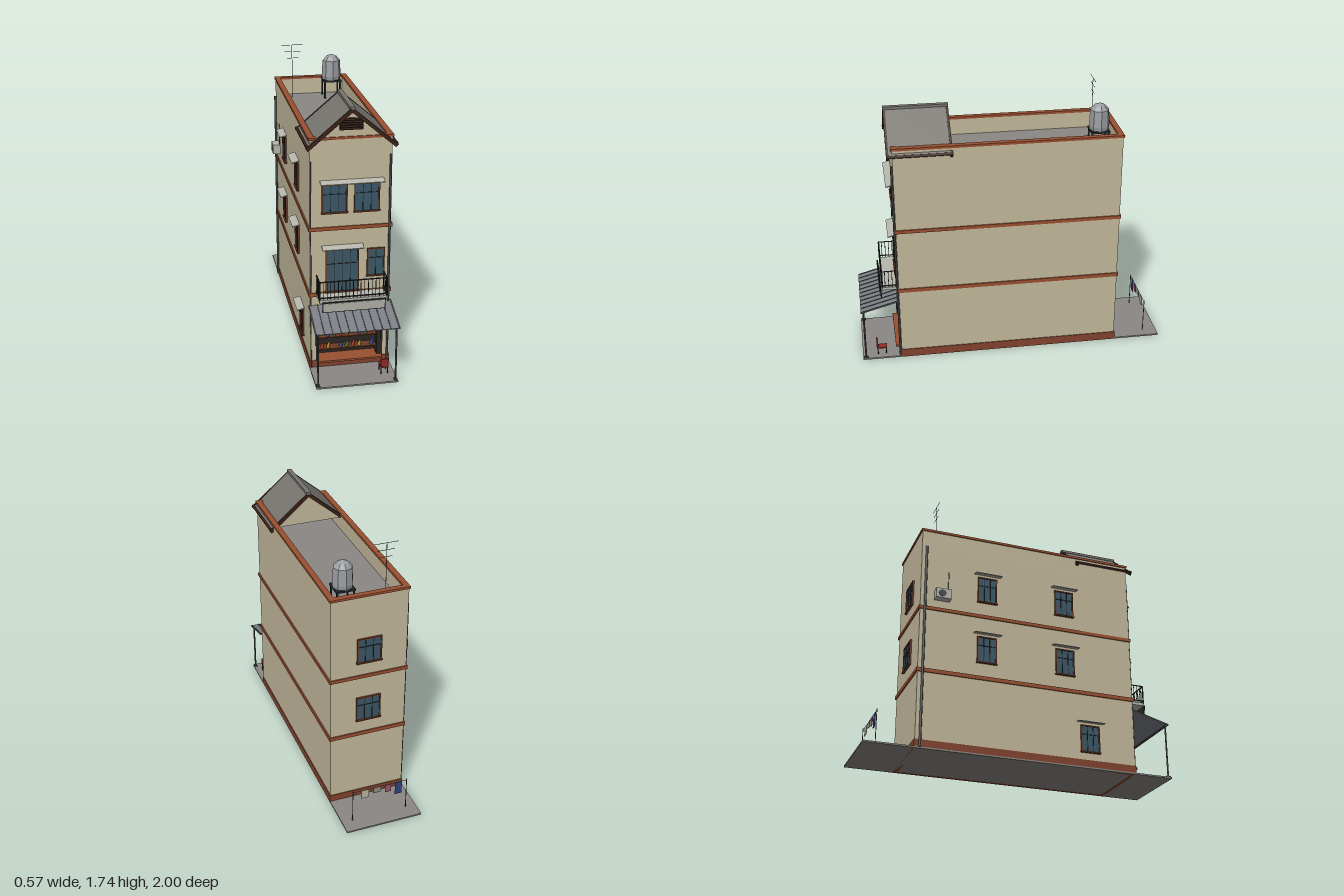
import * as THREE from 'three';

const mat = (color, extra = {}) => new THREE.MeshStandardMaterial({ color, ...extra });
const M = {
  wall: mat(0xc4b99c), trim: mat(0x9a5030), plinth: mat(0x83432e), grey: mat(0x8a8784),
  roof: mat(0x77756f, { side: THREE.DoubleSide }), wood: mat(0x3a2218), iron: mat(0x25282b),
  glass: mat(0x3b5868), frame: mat(0x6e3c26), pale: mat(0xb9b8ae), tank: mat(0x9b9ea2, { flatShading: true }),
  metal: mat(0x7b7f85, { side: THREE.DoubleSide }), dark: mat(0x2b2624), red: mat(0x8f2a22), pipe: mat(0x4a4c4e),
};
const goods = [0xb03a2e, 0xd8d2c0, 0x3c7a45, 0xc08a2a, 0x35508f].map((c) => mat(c));

const CX = 0.01, W = 0.49, X0 = CX - W / 2, X1 = CX + W / 2, ZB = -0.69, ZF = 0.745, DECK = 1.37;

export function createModel() {
  const root = new THREE.Group();
  root.name = 'narrowTownhouse';

  const add = (name, geo, m, parent = root) => {
    const o = new THREE.Mesh(geo, m);
    o.name = name;
    parent.add(o);
    return o;
  };
  // Box given by its minimum and maximum corners
  const box = (name, m, x0, x1, y0, y1, z0, z1, parent = root) => {
    const o = add(name, new THREE.BoxGeometry(x1 - x0, y1 - y0, z1 - z0), m, parent);
    o.position.set((x0 + x1) / 2, (y0 + y1) / 2, (z0 + z1) / 2);
    return o;
  };
  // Round bar between two points
  const rod = (name, m, a, b, r, parent = root) => {
    const A = new THREE.Vector3(...a), B = new THREE.Vector3(...b), d = B.clone().sub(A);
    const o = add(name, new THREE.CylinderGeometry(r, r, d.length(), 6), m, parent);
    o.position.copy(A).add(B).multiplyScalar(0.5);
    o.quaternion.setFromUnitVectors(new THREE.Vector3(0, 1, 0), d.normalize());
    return o;
  };
  const group = (name, parent = root) => {
    const g = new THREE.Group();
    g.name = name;
    parent.add(g);
    return g;
  };
  const rect = (C, x0, x1, y0, y1) => {
    const s = new C();
    s.moveTo(x0, y0); s.lineTo(x1, y0); s.lineTo(x1, y1); s.lineTo(x0, y1); s.closePath();
    return s;
  };
  // Rectangular ring extruded upwards
  const ring = (name, m, out, thick, y0, y1) => {
    const [a, b, c, d] = [X0 - out, X1 + out, ZB - out, ZF + out];
    const s = rect(THREE.Shape, a, b, -d, -c);
    s.holes.push(rect(THREE.Path, a + thick, b - thick, -d + thick, -c - thick));
    const o = add(name, new THREE.ExtrudeGeometry(s, { depth: y1 - y0, bevelEnabled: false }), m);
    o.rotation.x = -Math.PI / 2;
    o.position.y = y0;
  };

  // Ground slab and building body with a recessed shop opening
  box('groundSlab', M.grey, CX - 0.25, CX + 0.25, 0, 0.01, -1, 1);
  box('mainBody', M.wall, X0, X1, 0.01, DECK - 0.01, ZB, ZF - 0.085);
  const front = rect(THREE.Shape, X0, X1, 0.01, DECK - 0.01);
  front.holes.push(rect(THREE.Path, -0.2, 0.215, 0.055, 0.36));
  add('frontWall', new THREE.ExtrudeGeometry(front, { depth: 0.085, bevelEnabled: false }), M.wall).position.z = ZF - 0.085;
  box('roofDeck', M.grey, X0 + 0.01, X1 - 0.01, DECK - 0.01, DECK, ZB + 0.01, ZF - 0.01);
  ring('parapet', M.wall, 0, 0.025, DECK - 0.01, 1.477);
  ring('parapetCap', M.trim, 0.007, 0.036, 1.475, 1.49);
  ring('plinth', M.plinth, 0.005, 0.03, 0, 0.055);
  ring('lowerBand', M.trim, 0.008, 0.03, 0.49, 0.515);
  ring('upperBand', M.trim, 0.008, 0.03, 0.915, 0.937);

  // Gable roof over the front
  const gable = group('gableRoof');
  const tri = new THREE.Shape();
  tri.moveTo(X0, 1.45); tri.lineTo(X1, 1.45); tri.lineTo(CX, 1.652); tri.closePath();
  add('gableWalls', new THREE.ExtrudeGeometry(tri, { depth: 0.355, bevelEnabled: false }), M.wall, gable).position.z = 0.39;
  const rise = 0.225, run = 0.265, slope = Math.atan2(rise, run), len = Math.hypot(rise, run);
  for (const s of [-1, 1]) {
    const tilted = (name, m, h, w, z) => {
      const o = add(name, new THREE.BoxGeometry(len, h, w), m, gable);
      o.position.set(CX + s * run / 2, 1.662 - rise / 2 - h / 2 + 0.002, z);
      o.rotation.z = -s * slope;
    };
    tilted('roofPanel', M.roof, 0.007, 0.4, 0.58);
    tilted('frontBargeboard', M.wood, 0.022, 0.015, 0.773);
    tilted('backBargeboard', M.wood, 0.022, 0.015, 0.383);
    rod('gutter', M.wood, [CX + s * 0.262, 1.443, 0.375], [CX + s * 0.262, 1.443, 0.78], 0.009, gable);
  }
  box('ridgeCap', M.roof, CX - 0.015, CX + 0.015, 1.655, 1.672, 0.375, 0.78, gable);
  box('gableVent', M.dark, -0.058, 0.08, 1.53, 1.6, 0.74, 0.752, gable);
  for (let i = 0; i < 5; i++) {
    const l = box('ventLouvre', M.wood, -0.056, 0.078, 1.535 + i * 0.014, 1.539 + i * 0.014, 0.748, 0.762, gable);
    l.rotation.x = 0.5;
  }

  // Water tank on a stand
  const tank = group('waterTank');
  tank.position.set(0.133, 0, -0.56);
  const profile = [[0, 1.495], [0.062, 1.495], [0.066, 1.52], [0.06, 1.625], [0.035, 1.652], [0, 1.667]];
  add('tankBody', new THREE.LatheGeometry(profile.map((p) => new THREE.Vector2(...p)), 8), M.tank, tank);
  box('tankPlatform', M.iron, -0.06, 0.06, 1.482, 1.495, -0.06, 0.06, tank);
  for (const x of [-0.052, 0.052]) for (const z of [-0.052, 0.052]) {
    box('tankLeg', M.iron, x - 0.005, x + 0.005, DECK, 1.483, z - 0.005, z + 0.005, tank);
  }

  // Antenna
  const antenna = group('antenna');
  rod('mast', M.pipe, [-0.135, DECK, -0.575], [-0.135, 1.735, -0.575], 0.0018, antenna);
  [[1.735, 0.075], [1.69, 0.055], [1.645, 0.04]].forEach(([y, h]) =>
    rod('antennaBar', M.pipe, [-0.13 - h, y, -0.575], [-0.13 + h, y, -0.575], 0.0015, antenna));

  // Window facing +z, centred on its own x, turned to suit its wall
  const windowAt = (name, x, z, turn, y0, y1, w, awning = 0, bars = 3) => {
    const g = group(name), h = w / 2, t = 0.008;
    g.position.set(x, 0, z);
    g.rotation.y = turn;
    box('glass', M.glass, -h, h, y0, y1, -0.002, 0.005, g);
    for (const s of [-1, 1]) box('jamb', M.frame, s * h - t / 2, s * h + t / 2, y0, y1, 0, 0.011, g);
    box('head', M.frame, -h - t / 2, h + t / 2, y1 - t / 2, y1 + t / 2, 0, 0.011, g);
    box('sill', M.frame, -h - t, h + t, y0 - t, y0, 0, 0.016, g);
    for (let i = 1; i < bars; i++) {
      const bx = -h + (w * i) / bars;
      box('mullion', M.iron, bx - 0.002, bx + 0.002, y0, y1, 0, 0.009, g);
    }
    const my = y0 + (y1 - y0) * 0.66;
    box('transom', M.iron, -h, h, my - 0.002, my + 0.002, 0, 0.009, g);
    if (awning) sunshade(g, 0, awning, y1 + 0.02);
  };
  const sunshade = (parent, x, w, y) => {
    const o = box('sunshade', M.pale, x - w / 2, x + w / 2, y - 0.003, y + 0.003, 0, 0.048, parent);
    o.rotation.x = 0.25;
  };
  windowAt('upperWindowRight', -0.087, ZF, 0, 1.03, 1.2, 0.145);
  windowAt('upperWindowLeft', 0.107, ZF, 0, 1.03, 1.2, 0.145);
  windowAt('balconyDoor', -0.04, ZF, 0, 0.52, 0.79, 0.195, 0.25, 4);
  windowAt('balconyWindow', 0.165, ZF, 0, 0.61, 0.78, 0.1, 0, 2);
  const shade = group('upperSunshade');
  shade.position.z = ZF;
  sunshade(shade, 0.015, 0.38, 1.22);
  for (const [z, y] of [[-0.25, 1.03], [-0.25, 0.61], [0.28, 1.03], [0.28, 0.61], [0.44, 0.11]]) {
    windowAt('sideWindow', X0, z, -Math.PI / 2, y, y + 0.17, 0.12, 0.175);
  }
  for (const y of [0.61, 1.03]) windowAt('backWindow', CX, ZB, Math.PI, y, y + 0.16, 0.15);

  // Balcony with railings
  const balcony = group('balcony');
  const bx0 = -0.195, bx1 = 0.215, bz = 0.848;
  box('balconyFloor', M.pale, bx0, bx1, 0.492, 0.512, ZF, 0.852, balcony);
  for (const y of [0.525, 0.628]) {
    rod('frontRail', M.iron, [bx0, y, bz], [bx1, y, bz], 0.004, balcony);
    for (const x of [bx0, bx1]) rod('sideRail', M.iron, [x, y, ZF], [x, y, bz], 0.004, balcony);
  }
  for (let i = 0; i <= 18; i++) {
    const x = bx0 + ((bx1 - bx0) * i) / 18;
    rod('baluster', M.iron, [x, 0.51, bz], [x, 0.628, bz], i % 18 ? 0.002 : 0.005, balcony);
  }
  for (const x of [bx0, bx1]) for (let i = 0; i < 4; i++) {
    rod('sideBaluster', M.iron, [x, 0.51, ZF + 0.015 + i * 0.023], [x, 0.628, ZF + 0.015 + i * 0.023], 0.002, balcony);
  }

  // Blank sign board
  const sign = group('signBoard');
  sign.position.set(0.012, 0.468, 0.862);
  sign.rotation.x = 0.1;
  box('signFrame', M.iron, -0.192, 0.192, -0.034, 0.034, -0.005, 0.002, sign);
  box('signPanel', M.pale, -0.186, 0.186, -0.028, 0.028, -0.003, 0.005, sign);

  // Shop canopy, with raised seams and posts
  const canopy = group('shopCanopy');
  const cl = Math.hypot(0.255, 0.07);
  const slab = group('canopySheet', canopy);
  slab.position.set(CX, 0.432, ZF);
  slab.rotation.x = Math.atan2(0.07, 0.255);
  box('sheet', M.metal, -0.257, 0.257, -0.005, 0, 0, cl - 0.003, slab);
  for (let i = 0; i <= 10; i++) {
    const x = -0.25 + i * 0.05;
    box('seam', M.pipe, x - 0.003, x + 0.003, 0, 0.004, 0, cl - 0.004, slab);
  }
  for (const x of [X0 + 0.008, X1 - 0.008]) {
    rod('canopyPost', M.pipe, [x, 0.01, 0.98], [x, 0.362, 0.98], 0.006, canopy);
    box('postFoot', M.pipe, x - 0.01, x + 0.01, 0.01, 0.017, 0.965, 0.995, canopy);
  }
  rod('canopyBeam', M.pipe, [X0, 0.358, 0.98], [X1, 0.358, 0.98], 0.004, canopy);

  // Shop interior: shelves of goods, counter
  const shop = group('shopFront');
  box('shopBack', M.dark, -0.2, 0.215, 0.055, 0.36, 0.655, 0.668, shop);
  for (const s of [-1, 1]) box('shopSide', M.dark, 0.0075 + s * 0.204 - 0.005, 0.0075 + s * 0.204 + 0.005, 0.055, 0.36, 0.66, 0.747, shop);
  box('shopPost', M.dark, 0.18, 0.213, 0.055, 0.36, 0.7, 0.743, shop);
  box('counter', M.trim, -0.195, 0.21, 0.05, 0.062, 0.67, 0.78, shop);
  [0.12, 0.2, 0.28].forEach((y, row) => {
    box('shelf', M.frame, -0.19, 0.18, y - 0.006, y, 0.667, 0.735, shop);
    for (let i = 0; i < 9; i++) {
      if ((i + row * 2) % 5 === 2) continue;
      const h = 0.032 + ((i + row) % 3) * 0.005;
      const b = add('goods', new THREE.CylinderGeometry(0.007, 0.012, h, 6), goods[(i * 3 + row) % 5], shop);
      b.position.set(-0.155 + i * 0.039, y + h / 2, 0.715);
      b.rotation.z = -0.25;
    }
  });

  // Chair by the shop
  const chair = group('chair');
  box('chairSeat', M.red, 0.172, 0.22, 0.052, 0.059, 0.84, 0.905, chair);
  box('chairBack', M.red, 0.172, 0.22, 0.062, 0.112, 0.898, 0.908, chair);
  for (const x of [0.176, 0.216]) for (const z of [0.845, 0.9]) rod('chairLeg', M.iron, [x, 0.01, z], [x, z > 0.87 ? 0.1 : 0.053, z], 0.003, chair);

  // Drainpipes and the air conditioner
  rod('frontDrainpipe', M.pipe, [0.245, 0.01, ZF + 0.008], [0.245, 1.37, ZF + 0.008], 0.007);
  rod('frontCable', M.pipe, [X0 + 0.005, 0.01, ZF + 0.004], [X0 + 0.005, 1.35, ZF + 0.004], 0.003);
  rod('backDrainpipe', M.pipe, [X0 - 0.008, 0.01, ZB + 0.03], [X0 - 0.008, 1.36, ZB + 0.03], 0.008);
  const ac = group('airConditioner');
  box('unitBody', M.pale, -0.284, X0, 0.99, 1.055, -0.6, -0.5, ac);
  const fan = add('unitFan', new THREE.CylinderGeometry(0.024, 0.024, 0.004, 12), M.pipe, ac);
  fan.position.set(-0.285, 1.022, -0.56);
  fan.rotation.z = Math.PI / 2;
  rod('unitPipe', M.pipe, [X0 - 0.004, 1.05, -0.51], [X0 - 0.004, 1.2, -0.51], 0.003, ac);

  // Clothes line behind the house
  const line = group('clothesLine');
  for (const x of [-0.17, 0.19]) rod('linePost', M.pipe, [x, 0.01, -0.91], [x, 0.24, -0.91], 0.0025, line);
  rod('line', M.pipe, [-0.17, 0.23, -0.91], [0.19, 0.23, -0.91], 0.0015, line);
  [[0.11, 0.05, 0.06, 0xb9b5a2], [0.03, 0.05, 0.04, 0x8c8f7c], [-0.045, 0.04, 0.055, 0x9c5670], [-0.115, 0.045, 0.09, 0x2f4480]]
    .forEach(([x, w, h, c]) => box('laundry', mat(c), x - w / 2, x + w / 2, 0.23 - h, 0.23, -0.912, -0.908, line));

  return root;
}
